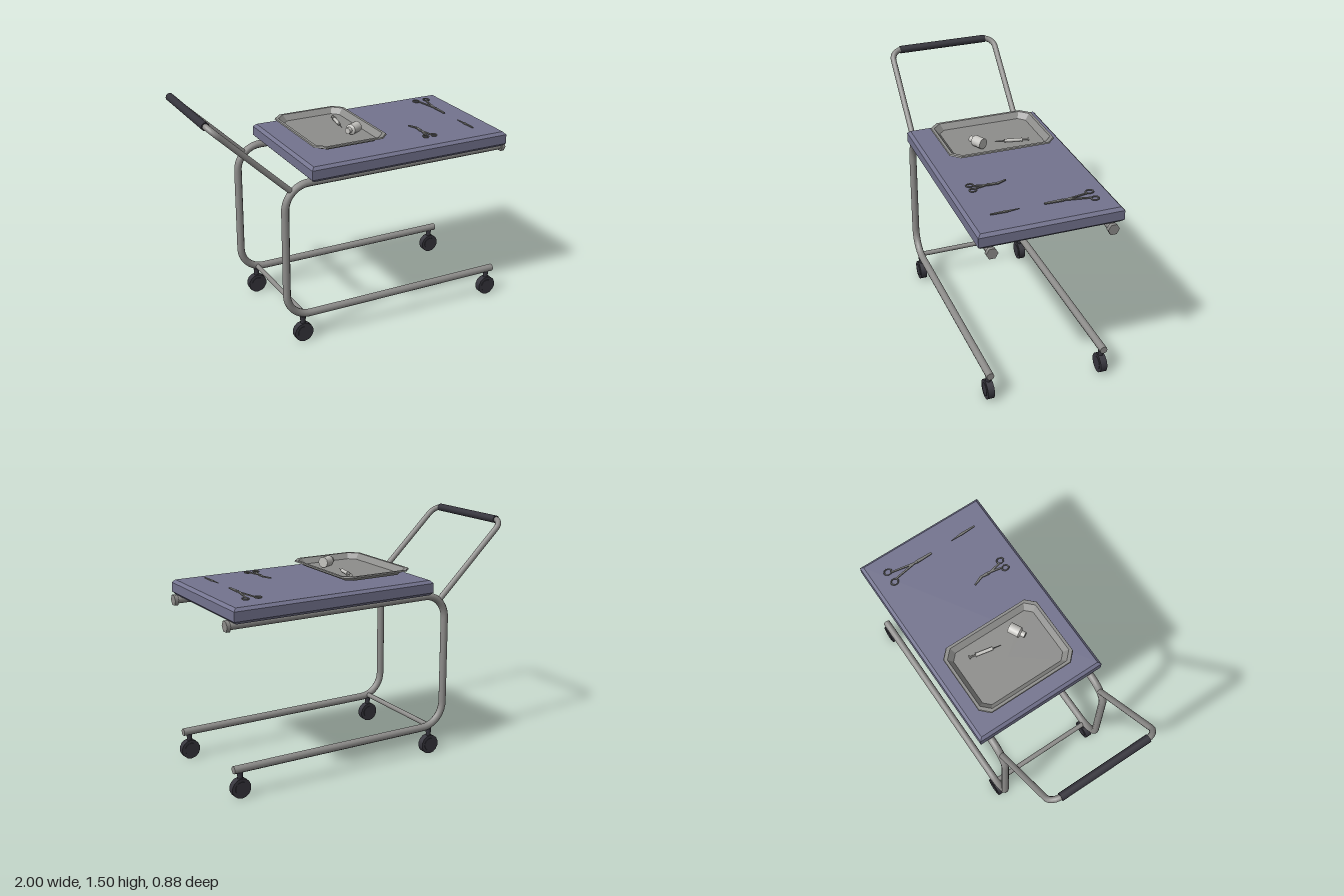
import * as THREE from 'three';

const mat = (name, color, side = THREE.FrontSide) => {
  const m = new THREE.MeshStandardMaterial({ color, side });
  m.name = name;
  return m;
};
const V = (x, y, z) => new THREE.Vector3(x, y, z);

// Straight runs joined by rounded corners of size r
function roundedPath(pts, r) {
  const path = new THREE.CurvePath();
  let from = pts[0];
  for (let i = 1; i < pts.length - 1; i++) {
    const p = pts[i];
    const a = p.clone().add(pts[i - 1].clone().sub(p).setLength(r));
    const b = p.clone().add(pts[i + 1].clone().sub(p).setLength(r));
    path.add(new THREE.LineCurve3(from, a));
    // circular-looking quarter bend
    const k = 0.55;
    path.add(new THREE.CubicBezierCurve3(a, a.clone().lerp(p, k), b.clone().lerp(p, k), b));
    from = b;
  }
  path.add(new THREE.LineCurve3(from, pts[pts.length - 1]));
  return path;
}

// Closed cylinder from a to b
function rod(a, b, r1, r2 = r1, sides = 10) {
  const d = b.clone().sub(a);
  const g = new THREE.CylinderGeometry(r2, r1, d.length(), sides);
  g.applyQuaternion(new THREE.Quaternion().setFromUnitVectors(V(0, 1, 0), d.normalize()));
  const c = a.clone().add(b).multiplyScalar(0.5);
  return g.translate(c.x, c.y, c.z);
}

// Flat strip lying on the table, tapering from width w1 to w2
function strip(x1, z1, x2, z2, w1, w2, y, t = 0.007) {
  const len = Math.hypot(x2 - x1, z2 - z1);
  const s = new THREE.Shape();
  s.moveTo(0, -w1 / 2).lineTo(len, -w2 / 2).lineTo(len, w2 / 2).lineTo(0, w1 / 2);
  const g = new THREE.ExtrudeGeometry(s, { depth: t, bevelEnabled: false });
  g.rotateX(-Math.PI / 2).rotateY(-Math.atan2(z2 - z1, x2 - x1));
  return g.translate(x1, y - t / 2, z1);
}

export function createModel() {
  const root = new THREE.Group();
  root.name = 'instrumentTrolley';
  const steel = mat('steel', 0x8e8d8b);
  const traySteel = mat('traySteel', 0x8e8e8c, THREE.DoubleSide);
  const tool = mat('toolSteel', 0x787876);
  const black = mat('blackRubber', 0x36353d);
  const blue = mat('blueTop', 0x74748f);
  const white = mat('paleGlass', 0xc6c5c1);
  const add = (name, g, m, parent = root) => {
    const mesh = new THREE.Mesh(g, m);
    mesh.name = name;
    parent.add(mesh);
    return mesh;
  };

  // Table top with bevelled edges
  const bev = 0.018, x0 = -0.385 + bev, x1 = 0.975 - bev, z0 = -0.44 + bev, z1 = 0.435 - bev;
  const rect = new THREE.Shape();
  rect.moveTo(x0, -z1).lineTo(x1, -z1).lineTo(x1, -z0).lineTo(x0, -z0);
  const top = new THREE.ExtrudeGeometry(rect, {
    depth: 0.095 - 2 * bev, bevelSize: bev, bevelThickness: bev, bevelSegments: 1,
  });
  add('tableTop', top.rotateX(-Math.PI / 2).translate(0, 1.07 + bev, 0), blue);

  // C-shaped side frames, end caps and casters
  for (const s of [-1, 1]) {
    const z = 0.364 * s, side = new THREE.Group();
    side.name = s > 0 ? 'frontSideFrame' : 'backSideFrame';
    root.add(side);
    const path = roundedPath([V(0.98, 1.05, z), V(-0.53, 1.05, z), V(-0.53, 0.18, z), V(0.96, 0.18, z)], 0.155);
    add('frameTube', new THREE.TubeGeometry(path, 130, 0.024, 10), steel, side);
    add('upperEndCap', rod(V(0.975, 1.05, z), V(1, 1.05, z), 0.036, 0.036, 6).rotateX(0), steel, side);
    add('lowerEndCap', rod(V(0.955, 0.18, z), V(0.972, 0.18, z), 0.024), steel, side);
    for (const x of [-0.425, 0.93]) {
      const caster = new THREE.Group();
      caster.name = 'caster';
      caster.position.set(x, 0, z);
      side.add(caster);
      add('stem', rod(V(0, 0.1, 0), V(0, 0.168, 0), 0.014, 0.019), black, caster);
      add('wheel', rod(V(0, 0.062, -0.021), V(0, 0.062, 0.021), 0.062, 0.062, 14), black, caster);
      add('hub', rod(V(0, 0.062, -0.024), V(0, 0.062, 0.024), 0.042, 0.042, 14), black, caster);
    }
  }
  add('crossBar', rod(V(-0.422, 0.188, -0.364), V(-0.422, 0.188, 0.364), 0.016), steel);

  // Slanted push handle with rubber grip
  const hz = 0.361;
  const handlePath = roundedPath([V(-0.49, 1.015, hz), V(-0.974, 1.472, hz),
    V(-0.974, 1.472, -hz), V(-0.49, 1.015, -hz)], 0.07);
  add('handleTube', new THREE.TubeGeometry(handlePath, 110, 0.019, 10), steel);
  add('handleGrip', rod(V(-0.974, 1.472, -0.3), V(-0.974, 1.472, 0.3), 0.025, 0.025, 12), black);

  // Tray lofted from chamfered rectangles: rim, sloped wall, floor
  const rings = [[0, 1.222, 0.055], [0.003, 1.23, 0.055], [0.02, 1.23, 0.052], [0.05, 1.196, 0.04], [null, 1.196, 0]];
  const pos = [], idx = [];
  for (const [inset, y, c] of rings) {
    const w = inset === null ? 0 : 0.247 - inset, d = inset === null ? 0 : 0.339 - inset;
    for (const [x, z] of [[w, d - c], [w - c, d], [c - w, d], [-w, d - c], [-w, c - d], [c - w, -d], [w - c, -d], [w, c - d]])
      pos.push(x - 0.047, y, z - 0.016);
  }
  for (let r = 0; r < rings.length - 1; r++) {
    for (let i = 0; i < 8; i++) {
      const a = r * 8 + i, b = r * 8 + (i + 1) % 8;
      idx.push(a, a + 8, b, b, a + 8, b + 8);
    }
  }
  let tray = new THREE.BufferGeometry();
  tray.setAttribute('position', new THREE.Float32BufferAttribute(pos, 3));
  tray.setIndex(idx);
  tray = tray.toNonIndexed();
  tray.computeVertexNormals();
  add('tray', tray, traySteel);

  // Bottle lying in the tray
  const bottle = new THREE.Group();
  bottle.name = 'bottle';
  root.add(bottle);
  const by = 1.236;
  add('bottleBody', rod(V(0.093, by, 0.09), V(0.03, by, 0.122), 0.034, 0.034, 12), white, bottle);
  add('bottleShoulder', rod(V(0.03, by, 0.122), V(0.021, by, 0.127), 0.034, 0.015, 12), white, bottle);
  add('bottleCap', rod(V(0.022, by, 0.126), V(-0.001, by, 0.138), 0.019, 0.019, 12), white, bottle);

  // Syringe lying in the tray
  const syringe = new THREE.Group();
  syringe.name = 'syringe';
  root.add(syringe);
  const sp = t => V(0.076 - 0.041 * t, 1.209, -0.215 + 0.207 * t);
  add('plungerPad', rod(sp(0), sp(0.03), 0.011), white, syringe);
  add('plunger', rod(sp(0), sp(0.25), 0.005), white, syringe);
  add('flange', rod(sp(0.2), sp(0.22), 0.014), white, syringe);
  add('barrel', rod(sp(0.2), sp(0.72), 0.011), white, syringe);
  add('needle', rod(sp(0.72), sp(1), 0.004, 0.001, 6), tool, syringe);

  // Hand tools on the table: two shanks crossing at a pivot, a ring at each end
  const ty = 1.18;
  function ringTool(name, x, zRing, spread, pivot, tip, ringR) {
    const g = new THREE.Group();
    g.name = name;
    root.add(g);
    const dir = Math.sign(pivot[1] - zRing);
    for (const s of [-1, 1]) {
      const rx = x + s * spread;
      const ring = new THREE.TorusGeometry(ringR, 0.0045, 6, 14).rotateX(Math.PI / 2);
      add('fingerRing', ring.scale(0.9, 1, 1.1).translate(rx, ty, zRing), tool, g);
      add('shank', strip(rx - s * ringR * 0.6, zRing + dir * ringR * 0.8, pivot[0] - s * 0.003, pivot[1], 0.009, 0.012, ty), tool, g);
      let [px, pz] = pivot;
      tip.forEach(([x2, z2], i) => {
        add('jaw', strip(px - s * 0.004, pz, x2 - s * 0.002, z2, 0.012 - 0.003 * i, 0.009 - 0.004 * i, ty), tool, g);
        [px, pz] = [x2, z2];
      });
    }
    add('pivotScrew', rod(V(pivot[0], ty - 0.005, pivot[1]), V(pivot[0], ty + 0.006, pivot[1]), 0.008), tool, g);
  }
  ringTool('clamp', 0.801, -0.315, 0.04, [0.8, -0.13], [[0.8, -0.02]], 0.022);
  ringTool('curvedScissors', 0.488, 0.305, 0.029, [0.486, 0.2], [[0.49, 0.145], [0.466, 0.085]], 0.02);

  // Scalpel
  const scalpel = new THREE.Group();
  scalpel.name = 'scalpel';
  root.add(scalpel);
  add('scalpelHandle', strip(0.808, 0.305, 0.806, 0.2, 0.008, 0.016, ty), tool, scalpel);
  add('scalpelBlade', strip(0.806, 0.2, 0.802, 0.13, 0.014, 0.002, ty, 0.004), tool, scalpel);

  return root;
}
